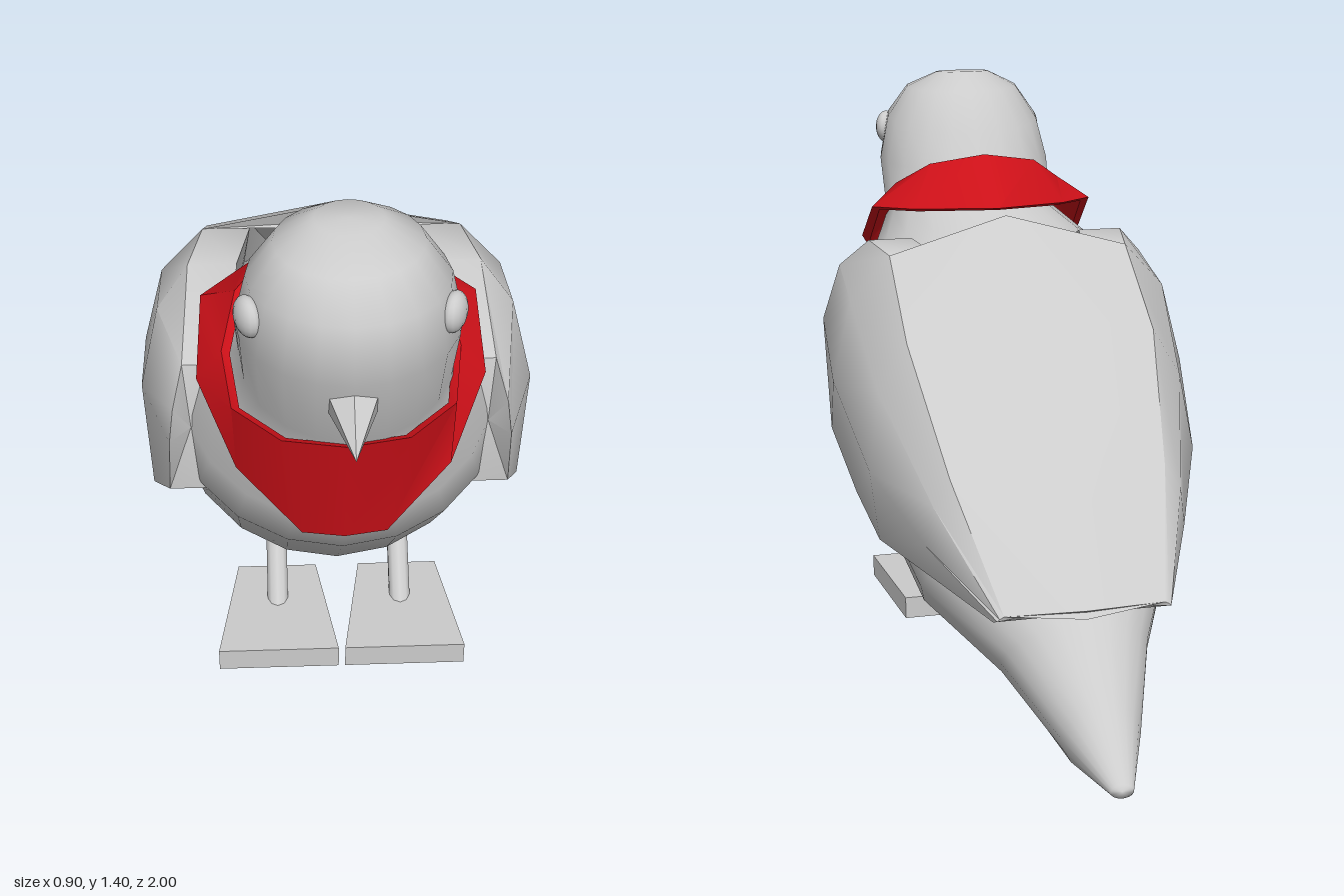
import * as THREE from 'three';
import { toCreasedNormals } from 'three/addons/utils/BufferGeometryUtils.js';

const grey = new THREE.MeshStandardMaterial({ color: 0xcccccc });
const red = new THREE.MeshStandardMaterial({ color: 0xcc1018 });

// Skin a list of closed loops of [x, y, z] points, with optional end caps
function loft(sections, caps = true) {
  const n = sections[0].length, pos = sections.flat(2), index = [];
  for (let i = 0; i < sections.length - 1; i++) {
    for (let j = 0; j < n; j++) {
      const a = i * n + j, b = i * n + (j + 1) % n;
      index.push(a, b, a + n, b, b + n, a + n);
    }
  }
  if (caps) {
    [0, sections.length - 1].forEach((s) => {
      const c = pos.length / 3;
      for (let k = 0; k < 3; k++) pos.push(sections[s].reduce((t, p) => t + p[k], 0) / n);
      for (let j = 0; j < n; j++) {
        const a = s * n + j, b = s * n + (j + 1) % n;
        if (s === 0) index.push(c, b, a);
        else index.push(c, a, b);
      }
    });
  }
  const g = new THREE.BufferGeometry();
  g.setAttribute('position', new THREE.Float32BufferAttribute(pos, 3));
  g.setIndex(index);
  g.computeVertexNormals();
  return g;
}

export function createModel() {
  const model = new THREE.Group();
  const add = (name, geometry, material = grey) => {
    const mesh = new THREE.Mesh(geometry, material);
    mesh.name = name;
    model.add(mesh);
    return mesh;
  };

  // Head, body and tail as one skin: [back z, back y, front z, front y, half width]
  const rings = [
    [0.62, 1.405, 0.74, 1.395, 0.07],
    [0.55, 1.36, 0.84, 1.36, 0.15],
    [0.47, 1.26, 0.91, 1.30, 0.205],
    [0.43, 1.17, 0.92, 1.17, 0.23],
    [0.38, 1.10, 0.835, 0.97, 0.225],
    [0.20, 1.07, 0.80, 0.88, 0.28],
    [0.12, 1.00, 0.765, 0.70, 0.35],
    [-0.05, 0.90, 0.70, 0.57, 0.39],
    [-0.25, 0.72, 0.44, 0.30, 0.39],
    [-0.48, 0.52, -0.12, 0.13, 0.30],
    [-0.68, 0.38, -0.50, 0.14, 0.17],
    [-0.83, 0.27, -0.84, 0.105, 0.085],
    [-0.99, 0.165, -1.0, 0.14, 0.025],
  ];
  const sides = 20;
  add('body', loft(rings.map(([bz, by, fz, fy, w], i) =>
    Array.from({ length: sides }, (_, j) => {
      const t = (j / sides) * Math.PI * 2, s = Math.sin(t) / 2;
      return [(i < 5 ? 0.01 : 0) + w * Math.cos(t),
        (by + fy) / 2 + (fy - by) * s, (bz + fz) / 2 + (fz - bz) * s];
    }))));

  // Folded wings: each station runs from the upper edge down to the lower edge
  const stations = [
    [[0.34, 0.94, 0.52], [0.36, 0.88, 0.60], [0.37, 0.80, 0.61], [0.38, 0.62, 0.55]],
    [[0.33, 1.035, 0.27], [0.40, 0.96, 0.33], [0.44, 0.80, 0.40], [0.43, 0.50, 0.38]],
    [[0.30, 1.03, 0.11], [0.40, 0.92, 0.11], [0.45, 0.72, 0.10], [0.40, 0.42, 0.10]],
    [[0.30, 0.88, -0.15], [0.37, 0.76, -0.15], [0.40, 0.58, -0.18], [0.37, 0.37, -0.10]],
    [[0.25, 0.64, -0.43], [0.29, 0.58, -0.43], [0.305, 0.48, -0.42], [0.28, 0.385, -0.40]],
    [[0.18, 0.415, -0.68], [0.19, 0.41, -0.68], [0.195, 0.405, -0.68], [0.20, 0.395, -0.66]],
  ];
  const wing = stations.map((s) => {
    const inward = ([x, y, z]) => [x - 0.11, y, z];
    return [...s, inward(s[3]), inward(s[0])];
  });
  const mirrored = wing.map((s) => s.map(([x, y, z]) => [-x, y, z]).reverse());
  add('leftWing', toCreasedNormals(loft(wing), 0.6));
  add('rightWing', toCreasedNormals(loft(mirrored), 0.6));

  // Back panel between the wings: [centre z, centre y, thickness]
  const ridge = [[0.145, 1.11, 0.06], [-0.15, 0.94, 0.05], [-0.43, 0.68, 0.04], [-0.70, 0.42, 0.02]];
  add('backPanel', toCreasedNormals(loft(ridge.map(([z, y, t], i) => {
    const [x, ey, ez] = stations[i + 2][0];
    return [[-x, ey, ez], [0, y, z], [x, ey, ez], [0, y - t, z]];
  })), 0.5));

  // Neckerchief: upper and lower edges from the nape round to the point on the breast
  const upper = [[0, 1.215, 0.42], [0.14, 1.19, 0.45], [0.22, 1.13, 0.52], [0.25, 1.04, 0.61],
    [0.23, 0.99, 0.74], [0.13, 0.975, 0.83], [0, 0.97, 0.85]];
  const lower = [[0, 1.11, 0.23], [0.20, 1.09, 0.36], [0.295, 1.08, 0.46], [0.305, 0.97, 0.61],
    [0.225, 0.83, 0.735], [0.09, 0.69, 0.785], [0, 0.685, 0.795]];
  const thin = ([x, y, z]) => [x * 0.93, y - 0.01, 0.57 + (z - 0.57) * 0.92];
  const half = upper.map((u, i) => [lower[i], u, thin(u), thin(lower[i])]);
  const otherHalf = half.slice(0, -1).reverse().map((s) => s.map(([x, y, z]) => [-x, y, z]));
  add('neckerchief', toCreasedNormals(loft([...half, ...otherHalf], false), 0.7), red);

  // Beak
  const beak = new THREE.ConeGeometry(0.06, 0.14, 6).toNonIndexed();
  beak.rotateX(Math.PI / 2 + 0.35);
  beak.computeVertexNormals();
  add('beak', beak).position.set(0.01, 1.08, 0.935);

  // Foot outline: wide toes, narrow heel
  const sole = new THREE.Shape([[-0.147, -0.51], [0.147, -0.51], [0.10, -0.21], [-0.10, -0.21]]
    .map(([x, y]) => new THREE.Vector2(x, y)));
  const footGeometry = new THREE.ExtrudeGeometry(sole, { depth: 0.06, bevelEnabled: false });
  footGeometry.rotateX(-Math.PI / 2);

  // Bent leg
  const legPath = new THREE.CurvePath();
  const bend = [[0.30, 0.205], [0.20, 0.205], [0.17, 0.19], [0.03, 0.35]]
    .map(([y, z]) => new THREE.Vector3(0, y, z));
  for (let i = 0; i < 3; i++) legPath.add(new THREE.LineCurve3(bend[i], bend[i + 1]));
  const legGeometry = new THREE.TubeGeometry(legPath, 12, 0.027, 10);

  for (const [side, s] of [['left', 1], ['right', -1]]) {
    const eye = add(side + 'Eye', new THREE.SphereGeometry(0.043, 16, 12));
    eye.scale.x = 0.6;
    eye.position.set(0.01 + s * 0.2, 1.24, 0.775);
    eye.rotation.y = -s * 0.4;
    add(side + 'Leg', legGeometry).position.x = 0.01 + s * 0.155;
    add(side + 'Foot', footGeometry).position.x = 0.01 + s * 0.155;
  }
  return model;
}
